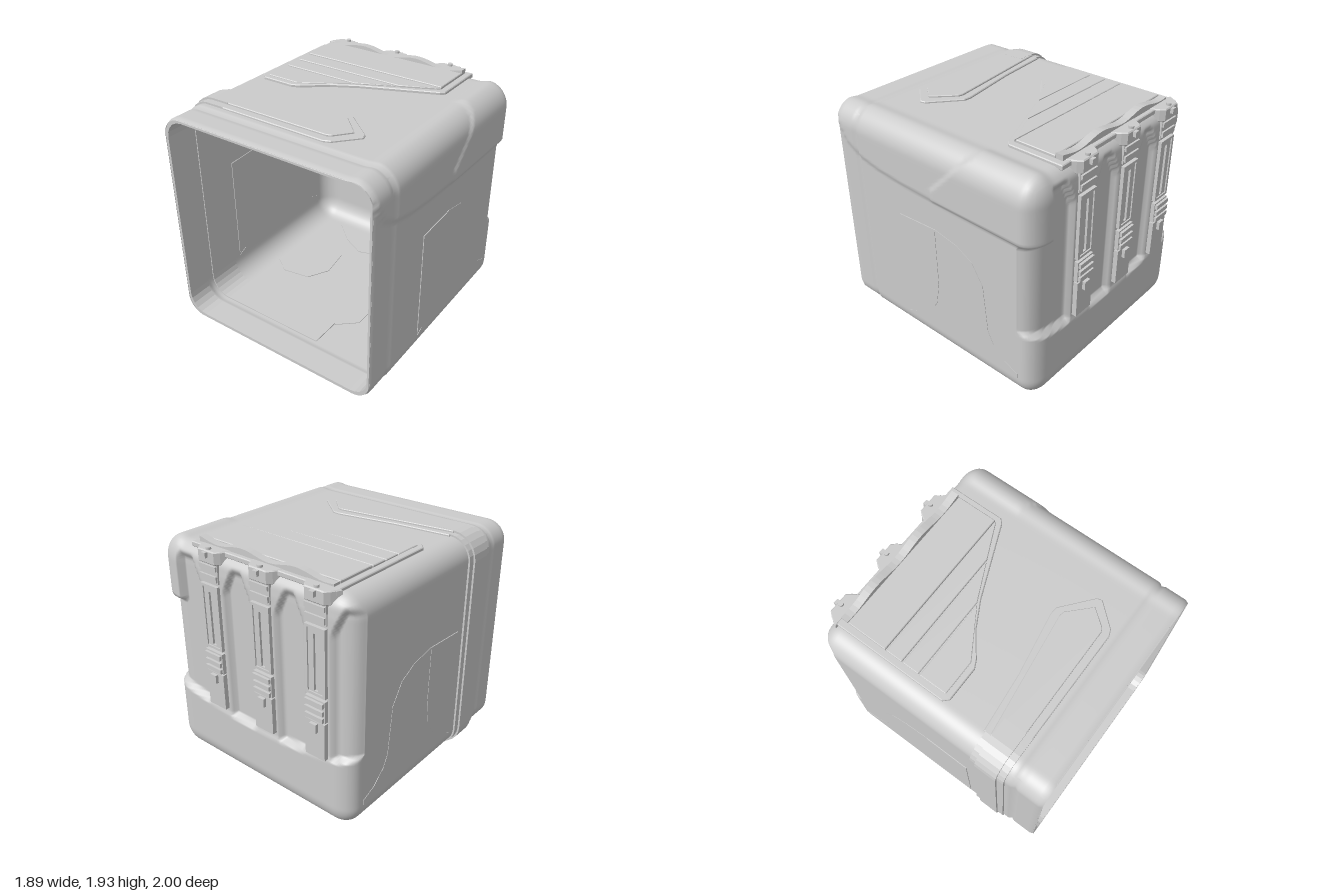
import * as THREE from 'three';
import { mergeVertices } from 'three/addons/utils/BufferGeometryUtils.js';

const mat = new THREE.MeshStandardMaterial({ color: 0xcccccc, side: THREE.DoubleSide });
const HW = 0.915, Y0 = 0.03, Y1 = 1.86, BACK = -0.95, R = 0.17, RZ = 0.13;
const STRAPS = [-0.62, -0.125, 0.38];
const ss = (a, b, v) => THREE.MathUtils.smoothstep(v, a, b);
const { clamp } = THREE.MathUtils;

function add(parent, name, geo) {
  const m = new THREE.Mesh(geo, mat);
  m.name = name;
  parent.add(m);
  return m;
}
function toShape(pts, holes = []) {
  const path = p => p.map(([x, y]) => new THREE.Vector2(x, y));
  const s = new THREE.Shape(path(pts));
  holes.forEach(h => s.holes.push(new THREE.Path(path(h))));
  return s;
}
function slab(pts, depth, holes, bevel = 0) {
  return new THREE.ExtrudeGeometry(toShape(pts, holes), {
    depth, curveSegments: 4, bevelEnabled: bevel > 0,
    bevelSize: bevel, bevelOffset: -bevel, bevelThickness: bevel, bevelSegments: 1,
  });
}
// Horizontal slab from an (x, z) outline, its upper face at y = top
const flat = (pts, top, depth, bevel = 0) =>
  slab(pts, depth - 2 * bevel, [], bevel).rotateX(Math.PI / 2).translate(0, top - bevel, 0);
// Upright slab on a side wall from a (z, y) outline, its +x face at x
const onSide = (pts, x, depth) => slab(pts, depth).rotateY(-Math.PI / 2).translate(x, 0, 0);
const rect = (x0, y0, x1, y1) => [[x0, y0], [x1, y0], [x1, y1], [x0, y1]];

function roundRect(hw, y0, y1, r, n = 5) {
  const pts = [];
  [[hw - r, y1 - r], [r - hw, y1 - r], [r - hw, y0 + r], [hw - r, y0 + r]].forEach(([cx, cy], k) => {
    for (let i = 0; i <= n; i++) {
      const a = (k + i / n) * Math.PI / 2;
      pts.push([cx + r * Math.cos(a), cy + r * Math.sin(a)]);
    }
  });
  return pts;
}

// Lower edge of the corner flap as (z, y) points
const FLAP = [[-1, 1.395], [-0.03, 1.41], [0.3, 1.425], [0.55, 1.45], [0.78, 1.5], [0.9, 1.57], [1, 1.74]];
function flapEdge(z) {
  for (let i = 1; i < FLAP.length; i++) {
    const [a, b] = [FLAP[i - 1], FLAP[i]];
    if (z <= b[0]) return a[1] + (b[1] - a[1]) * (z - a[0]) / (b[0] - a[0]);
  }
  return 1.74;
}

// Rounded, open-fronted box; steps and recesses are pushed into its surface
function shellGeometry() {
  const g = new THREE.BoxGeometry(2 * HW, Y1 - Y0, 1 - BACK, 100, 100, 70);
  g.translate(0, (Y0 + Y1) / 2, (1 + BACK) / 2);
  const front = g.groups[4], idx = [...g.index.array];
  idx.splice(front.start, front.count);
  g.setIndex(idx);
  g.clearGroups();
  const pos = g.attributes.position, p = new THREE.Vector3(), core = new THREE.Vector3(), n = new THREE.Vector3();
  for (let i = 0; i < pos.count; i++) {
    p.fromBufferAttribute(pos, i);
    core.set(clamp(p.x, R - HW, HW - R), clamp(p.y, Y0 + R, Y1 - R), Math.max(p.z, BACK + RZ));
    n.set((p.x - core.x) / R, (p.y - core.y) / R, (p.z - core.z) / RZ).normalize();
    p.set(core.x + n.x * R, core.y + n.y * R, core.z + n.z * RZ);
    const { x, y, z } = p;
    // front rim and the groove behind it
    const inset = 0.006 * ss(0.76, 0.78, z) + 0.012 * (1 - ss(0, 0.025, Math.abs(z - 0.775))) + 0.012 * ss(0.97, 1, z);
    // two-piece flap over one upper corner
    const e = flapEdge(z), onFlap = ss(0.68, 0.8, x);
    const rear = 1 - ss(-0.03, 0, z + Math.max(0, y - 1.5));
    const out = onFlap * ss(e - 0.012, e + 0.018, y) * (0.014 + 0.012 * rear) - inset;
    p.x += n.x * out;
    p.y += n.y * out;
    // recessed upper back, with a raised column behind each strap
    if (z < -0.78) {
      const line = 0.54 + 0.09 * (x / 0.86) ** 2;
      const half = 0.125 + 0.08 * ss(1.55, 1.8, y);
      const column = Math.max(...STRAPS.map(c => 1 - ss(half - 0.01, half + 0.015, Math.abs(x - c))));
      const top = x > 0.72 ? 1 - ss(1.37, 1.4, y) : 1 - ss(1.72, 1.8, y);
      const depth = 0.055 - 0.043 * column;
      p.z += depth * ss(line - 0.015, line + 0.015, y) * top * ss(0.78, 0.86, -z);
    }
    pos.setXYZ(i, p.x, p.y, p.z);
  }
  g.deleteAttribute('normal');
  g.deleteAttribute('uv');
  const merged = mergeVertices(g, 1e-5);
  merged.computeVertexNormals();
  return merged;
}

// C-shaped band around one side, in the xy plane
function bandOutline(off) {
  const line = o => {
    const pts = [[0.2, Y0 - o]];
    for (let k = 0; k < 2; k++) for (let i = 0; i <= 6; i++) {
      const a = -Math.PI / 2 - (k + i / 6) * Math.PI / 2;
      pts.push([R - HW + (R + o) * Math.cos(a), (k ? Y1 - R : Y0 + R) + (R + o) * Math.sin(a)]);
    }
    pts.push([-0.6, Y1 + o]);
    return pts;
  };
  return [...line(off), ...line(-0.008).reverse()];
}

function buildStrap(parent, cx) {
  const s = new THREE.Group();
  s.name = 'strap';
  s.position.x = cx;
  const plate = (name, x0, y0, x1, y1, back, holes) =>
    add(s, name, slab(rect(x0, y0, x1, y1), -0.93 - back, holes).translate(0, 0, back));
  plate('strapTop', -0.09, 1.64, 0.09, 1.79, -0.95);
  plate('strapTopBar', -0.085, 1.74, 0.085, 1.775, -0.965);
  plate('strapTopBar', -0.085, 1.655, 0.085, 1.70, -0.965);
  plate('strapFrame', -0.088, 1.10, 0.088, 1.62, -0.965, [rect(-0.065, 1.12, 0.065, 1.60)]);
  plate('strapWebbing', -0.065, 1.12, 0.065, 1.60, -0.955, [rect(-0.017, 1.13, 0.017, 1.56)]);
  plate('buckle', -0.088, 0.91, 0.088, 1.08, -0.97);
  [0.935, 0.99, 1.05].forEach(y => plate('buckleBar', -0.08, y - 0.018, 0.08, y + 0.018, -0.99));
  const slot = [[0.018, 0.87], [0.018, 0.84], [0, 0.825], [-0.018, 0.84], [-0.018, 0.87]];
  plate('strapTail', -0.088, 0.6, 0.088, 0.9, -0.975, [slot]);
  plate('tailTab', -0.03, 0.82, 0.03, 0.89, -1);
  parent.add(s);
}

export function createModel() {
  const model = new THREE.Group();
  add(model, 'shell', shellGeometry());
  // lip inside the opening
  add(model, 'openingLip', slab(roundRect(0.9, 0.045, 1.845, 0.16), 0.2, [roundRect(0.877, 0.068, 1.822, 0.15)])
    .translate(0, 0, 0.795));

  // band with a pointed end on the roof
  add(model, 'band', slab(bandOutline(0.015), 0.28).translate(0, 0, 0.42));
  add(model, 'bandCore', slab(bandOutline(0.03), 0.175).translate(0, 0, 0.47));
  add(model, 'bandTip', flat([[-0.745, 0.405], [-0.3, 0.36], [0.2, 0.275], [0.26, 0.28], [0.49, 0.47], [0.5, 0.51],
    [0.35, 0.68], [0.3, 0.7], [-0.745, 0.7]], 1.875, 0.03, 0.006));
  add(model, 'bandTipCore', flat([[-0.745, 0.46], [0.22, 0.335], [0.26, 0.345], [0.42, 0.5], [0.32, 0.625], [0.29, 0.64],
    [-0.745, 0.645]], 1.889, 0.03, 0.005));

  // roof panel: base plate, stepped slats, wavy rear ridge
  add(model, 'roofPanel', flat([[-0.75, -0.9], [0.6, -0.9], [0.6, -0.45], [0.57, -0.42], [0, -0.18], [-0.2, -0.07],
    [-0.38, 0.07], [-0.44, 0.1], [-0.71, 0.1], [-0.75, 0.06]], 1.882, 0.04, 0.006));
  const slant = z => (z < -0.45 ? 0.55 : z < -0.22 ? 0.55 - (z + 0.45) * 2.3 : 0.02 - (z + 0.22) * 1.6);
  [[-0.8, -0.47, 1.903], [-0.46, -0.325, 1.898], [-0.315, -0.18, 1.894], [-0.17, 0.055, 1.89]].forEach(([a, b, top]) =>
    add(model, 'roofSlat', flat([[-0.7, a], [slant(a), a], [slant(b), b], [-0.7, b]], top, 0.03, 0.005)));
  const wave = [[-0.7, 1.85]];
  for (let i = 0; i <= 30; i++) {
    const x = -0.7 + 1.25 * i / 30;
    wave.push([x, 1.912 - 0.018 * Math.cos((x + 0.63) * 4 * Math.PI)]);
  }
  wave.push([0.55, 1.85]);
  add(model, 'roofRidge', slab(wave, 0.06).translate(0, 0, -0.865));

  STRAPS.forEach(cx => {
    // rounded lobe, hinge pin and knob above each strap
    add(model, 'strapLobe', flat([[cx - 0.15, -0.86], [cx - 0.11, -0.93], [cx - 0.08, -0.965], [cx + 0.08, -0.965],
      [cx + 0.11, -0.93], [cx + 0.15, -0.86]], 1.885, 0.1, 0.008));
    add(model, 'hingePin', new THREE.CylinderGeometry(0.02, 0.02, 0.03, 10).translate(cx, 1.888, -0.935));
    add(model, 'hingeKnob', new THREE.BoxGeometry(0.04, 0.04, 0.03).translate(cx, 1.855, -0.975));
    buildStrap(model, cx);
  });

  // thin panels on both side walls
  const doorPanel = [[0.35, 0.24], [0.35, 1.15], [-0.02, 1.17], [-0.025, 0.67], [0.01, 0.47], [0.11, 0.33], [0.25, 0.26]];
  const archPanel = [[-0.02, 1.17], [-0.23, 1.13], [-0.38, 1.05], [-0.48, 0.89], [-0.52, 0.5], [-0.57, 0.4],
    [-0.68, 0.3], [-0.8, 0.25], [-0.8, 0.21], [0.35, 0.21], [0.25, 0.26], [0.11, 0.33], [0.01, 0.47], [-0.025, 0.67]];
  [HW, -HW].forEach(x => {
    add(model, 'sideDoorPanel', onSide(doorPanel, x + 0.006, 0.012));
    add(model, 'sideArchPanel', onSide(archPanel, x + 0.003, 0.006));
  });

  // thin pads on the floor
  [
    [[-0.2, 0.1], [-0.12, 0.42], [0.2, 0.46], [0.36, 0.32], [0.36, 0.08], [0.22, -0.04], [-0.08, -0.04]],
    [[-0.72, -0.36], [-0.74, 0.02], [-0.6, 0.12], [-0.36, 0.08], [-0.26, -0.1], [-0.3, -0.36]],
    [[-0.6, -0.78], [0.66, -0.78], [0.66, -0.4], [0.42, -0.3], [0.2, -0.42], [0.04, -0.58], [-0.2, -0.5], [-0.4, -0.6]],
  ].forEach(pts => add(model, 'floorPad', flat(pts, Y0 + 0.006, 0.014)));
  return model;
}
